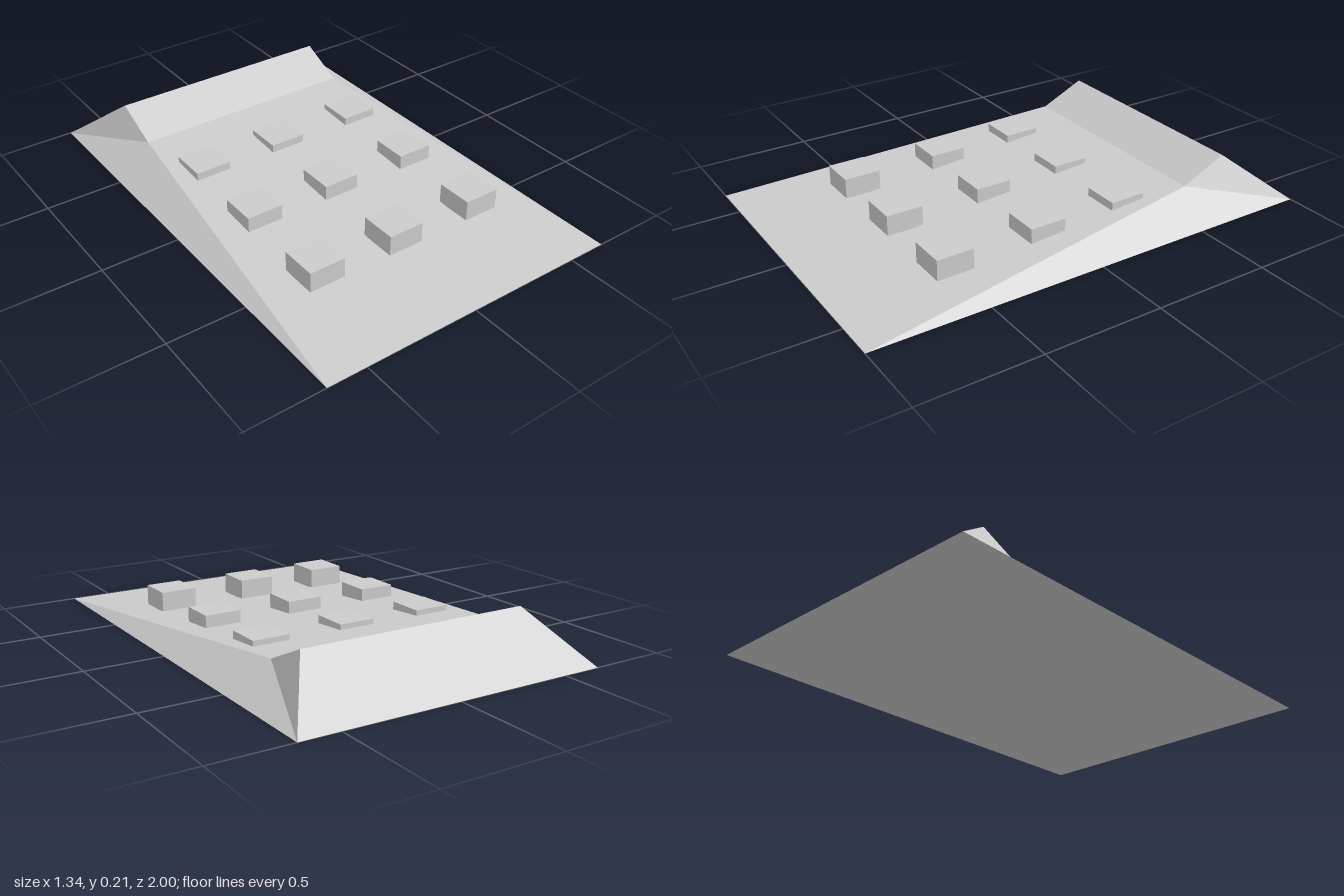
import * as THREE from 'three';

const material = new THREE.MeshStandardMaterial({ color: 0xcccccc, flatShading: true });

// Wedge body: flat base, long shallow ramp, steeper rise to a ridge, sloping back
function makeBody() {
  const p = [
    [-0.67, 0, 1], [0.67, 0, 1],               // 0, 1 front base corners
    [0.67, 0, -1], [-0.67, 0, -1],             // 2, 3 back base corners
    [-0.5, 0.117, -0.545], [0.5, 0.117, -0.545], // 4, 5 top of the ramp
    [-0.5, 0.208, -0.743], [0.5, 0.208, -0.743], // 6, 7 ridge
  ];
  const faces = [
    [0, 1, 5], [0, 5, 4], // ramp
    [4, 5, 7], [4, 7, 6], // rise
    [6, 7, 2], [6, 2, 3], // back slope
    [1, 2, 5], [2, 7, 5], // left side
    [0, 4, 3], [3, 4, 6], // right side
    [0, 3, 2], [0, 2, 1], // underside
  ];
  const geometry = new THREE.BufferGeometry();
  const positions = faces.flat().flatMap((i) => p[i]);
  geometry.setAttribute('position', new THREE.Float32BufferAttribute(positions, 3));
  geometry.computeVertexNormals();
  const body = new THREE.Mesh(geometry, material);
  body.name = 'wedgeBody';
  return body;
}

// Three rows of level keys, sinking into the ramp towards the back
function makeKeys() {
  const keys = new THREE.Group();
  keys.name = 'keys';
  const bottom = 0.038, top = 0.125;
  const geometry = new THREE.BoxGeometry(0.158, top - bottom, 0.158);
  for (const z of [0.527, 0.113, -0.275]) {
    for (const x of [-0.378, -0.004, 0.387]) {
      const key = new THREE.Mesh(geometry, material);
      key.name = 'key';
      key.position.set(x, (top + bottom) / 2, z);
      keys.add(key);
    }
  }
  return keys;
}

export function createModel() {
  const model = new THREE.Group();
  model.name = 'keypadWedge';
  model.add(makeBody(), makeKeys());
  return model;
}
